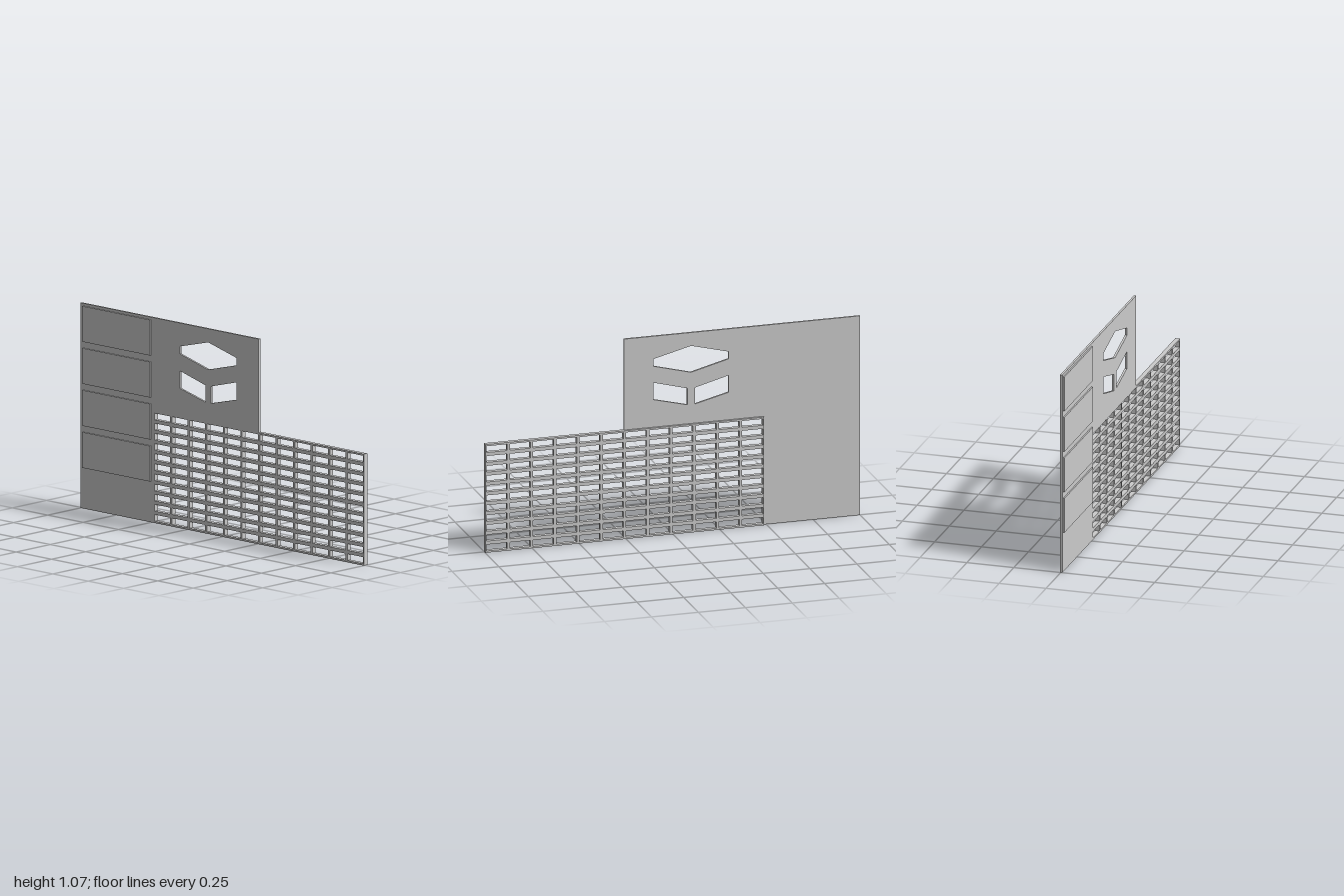
import * as THREE from 'three';

const material = new THREE.MeshStandardMaterial({ color: 0xcccccc, flatShading: true });
const BACK = -0.016, WALL_BACK = -0.003, FACE = 0.0085, FRONT = 0.016;
const LEFT = -1, SPLIT = -0.485, WALL_RIGHT = 0.257, RIGHT = 1;
const LATTICE_TOP = 0.58, TOP = 1.067;

const rect = (x0, y0, x1, y1) => [[x0, y0], [x1, y0], [x1, y1], [x0, y1]];

// Flat plate between two depths, with polygonal holes
function plate(name, outline, holes, z0, z1) {
  const points = (list) => list.map(([x, y]) => new THREE.Vector2(x, y));
  const shape = new THREE.Shape(points(outline));
  for (const hole of holes) shape.holes.push(new THREE.Path(points(hole)));
  const geometry = new THREE.ExtrudeGeometry(shape, { depth: z1 - z0, bevelEnabled: false });
  geometry.translate(0, 0, z0);
  const mesh = new THREE.Mesh(geometry, material);
  mesh.name = name;
  return mesh;
}

export function createModel() {
  const model = new THREE.Group();
  model.name = 'facade';

  // Tall plain wall on one side
  model.add(plate('sideWall', rect(LEFT, 0, SPLIT, TOP), [], WALL_BACK, FACE));

  // Upper wall with three cut-outs forming an open cube outline
  const cx = -0.1;
  const hexagon = [[0, 0.996], [0.2, 0.945], [0.2, 0.906], [0, 0.854], [-0.2, 0.906], [-0.2, 0.945]]
    .map(([x, y]) => [cx + x, y]);
  const sidePanes = [1, -1].map((side) =>
    [[0.02, 0.77], [0.2, 0.818], [0.2, 0.727], [0.02, 0.682]].map(([x, y]) => [cx + side * x, y]));
  model.add(plate('upperWall', rect(SPLIT, LATTICE_TOP, WALL_RIGHT, TOP),
    [hexagon, ...sidePanes], WALL_BACK, FACE));

  // Deep lattice of rectangular openings
  const columns = 12, rows = 11, holeWidth = 0.11, holeHeight = 0.034;
  const pitchX = (RIGHT - SPLIT) / columns, pitchY = LATTICE_TOP / rows;
  const openings = [];
  for (let c = 0; c < columns; c++) {
    for (let r = 0; r < rows; r++) {
      const x = SPLIT + (c + 0.5) * pitchX, y = (r + 0.5) * pitchY;
      openings.push(rect(x - holeWidth / 2, y - holeHeight / 2, x + holeWidth / 2, y + holeHeight / 2));
    }
  }
  model.add(plate('lattice', rect(SPLIT, 0, RIGHT, LATTICE_TOP), openings, BACK, FACE));

  // Raised panels stacked on the side wall
  const panels = new THREE.Group();
  panels.name = 'raisedPanels';
  for (let i = 0; i < 4; i++) {
    const top = 1.053 - i * 0.2185;
    panels.add(plate('raisedPanel', rect(-0.985, top - 0.185, -0.503, top), [], FACE, FRONT));
  }
  model.add(panels);

  return model;
}
